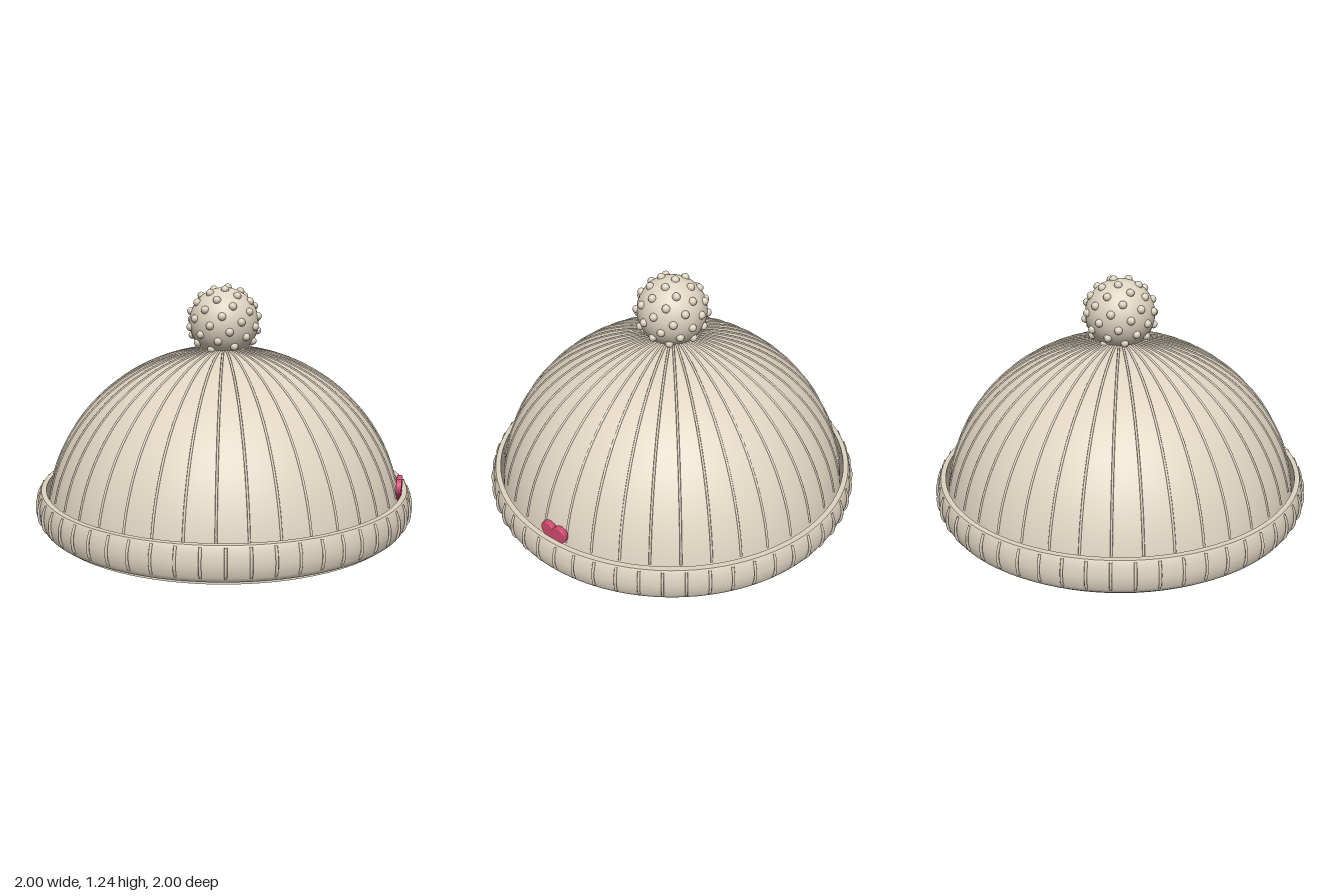
import * as THREE from 'three';

const R = 0.94, H = 0.91; // outer radius and height of the dome

const cream = new THREE.MeshStandardMaterial({ color: 0xded3c0, side: THREE.DoubleSide });
cream.name = 'cream wool';
const pink = new THREE.MeshStandardMaterial({ color: 0xd0486f });
pink.name = 'pink';

function add(parent, name, geometry, material = cream) {
  const mesh = new THREE.Mesh(geometry, material);
  mesh.name = name;
  parent.add(mesh);
  return mesh;
}

// Quarter ellipse from the rim up to the crown
function domeProfile(r, h, from = 0, to = Math.PI / 2, steps = 32) {
  return Array.from({ length: steps + 1 }, (_, i) => {
    const a = from + (to - from) * i / steps;
    return new THREE.Vector2(Math.max(r * Math.cos(a), 0), h * Math.sin(a));
  });
}

// Repeats one tube, drawn in a radius/height profile, around the vertical axis
function ribs(name, profile, radius, count, segments) {
  const group = new THREE.Group();
  group.name = name;
  const path = new THREE.CatmullRomCurve3(profile.map(p => new THREE.Vector3(0, p.y, p.x)));
  const geometry = new THREE.TubeGeometry(path, segments, radius, 6);
  for (let i = 0; i < count; i++) {
    add(group, 'rib', geometry).rotation.y = i / count * Math.PI * 2;
  }
  return group;
}

export function createModel() {
  const model = new THREE.Group();
  model.name = 'knitted hat';

  // Dome with an inner lining
  add(model, 'dome', new THREE.LatheGeometry(domeProfile(R, H), 96));
  add(model, 'lining', new THREE.LatheGeometry(domeProfile(0.905, 0.875), 96));
  const hem = new THREE.RingGeometry(0.905, R, 96);
  hem.rotateX(Math.PI / 2);
  add(model, 'hem', hem);
  model.add(ribs('domeRibs', domeProfile(R, H, 0.2, 1.45, 20), 0.006, 40, 32));

  // Folded cuff: bulging outside, with separate flat edges
  const bulge = [[0.95, 0.015], [0.968, 0.022], [0.98, 0.045], [0.987, 0.08], [0.988, 0.11],
    [0.984, 0.145], [0.976, 0.175], [0.968, 0.19]].map(p => new THREE.Vector2(...p));
  const edge = (a, b) => new THREE.LatheGeometry([new THREE.Vector2(...a), new THREE.Vector2(...b)], 96);
  add(model, 'cuffOutside', new THREE.LatheGeometry(bulge, 96));
  add(model, 'cuffTop', edge([0.968, 0.19], [0.942, 0.19]));
  add(model, 'cuffInside', edge([0.942, 0.19], [0.942, 0.015]));
  add(model, 'cuffBottom', edge([0.935, 0.015], [0.95, 0.015]));
  const cuffLine = [[0.974, 0.042], [0.987, 0.06], [0.993, 0.1], [0.989, 0.14], [0.972, 0.182]];
  model.add(ribs('cuffRibs', cuffLine.map(p => new THREE.Vector2(...p)), 0.007, 56, 12));

  // Pompom covered with small knots, spread along a spiral
  const pompom = new THREE.Group();
  pompom.name = 'pompom';
  pompom.position.y = 1.04;
  model.add(pompom);
  add(pompom, 'ball', new THREE.SphereGeometry(0.18, 40, 28));
  const knot = new THREE.SphereGeometry(0.021, 12, 8);
  const count = 60;
  for (let i = 0; i < count; i++) {
    const y = 1 - 2 * (i + 0.5) / count;
    const r = Math.sqrt(1 - y * y), a = i * Math.PI * (3 - Math.sqrt(5));
    add(pompom, 'knot', knot).position.set(r * Math.cos(a), y, r * Math.sin(a)).multiplyScalar(0.18);
  }

  // Heart tucked behind the cuff
  const shape = new THREE.Shape();
  shape.moveTo(0, -0.1);
  shape.lineTo(0.066, -0.022);
  shape.absarc(0.036, 0, 0.037, -0.63, Math.PI - 0.5, false);
  shape.lineTo(0, 0.016);
  shape.absarc(-0.036, 0, 0.037, 0.5, Math.PI + 0.63, false);
  shape.closePath();
  const heartGeometry = new THREE.ExtrudeGeometry(shape, {
    depth: 0.016, curveSegments: 20, bevelSize: 0.005, bevelThickness: 0.006, bevelSegments: 3,
  });
  const heart = add(model, 'heart', heartGeometry, pink);
  const turn = 0.406;
  heart.position.set(Math.sin(turn) * 0.921, 0.228, Math.cos(turn) * 0.921);
  heart.rotation.y = turn;

  return model;
}
